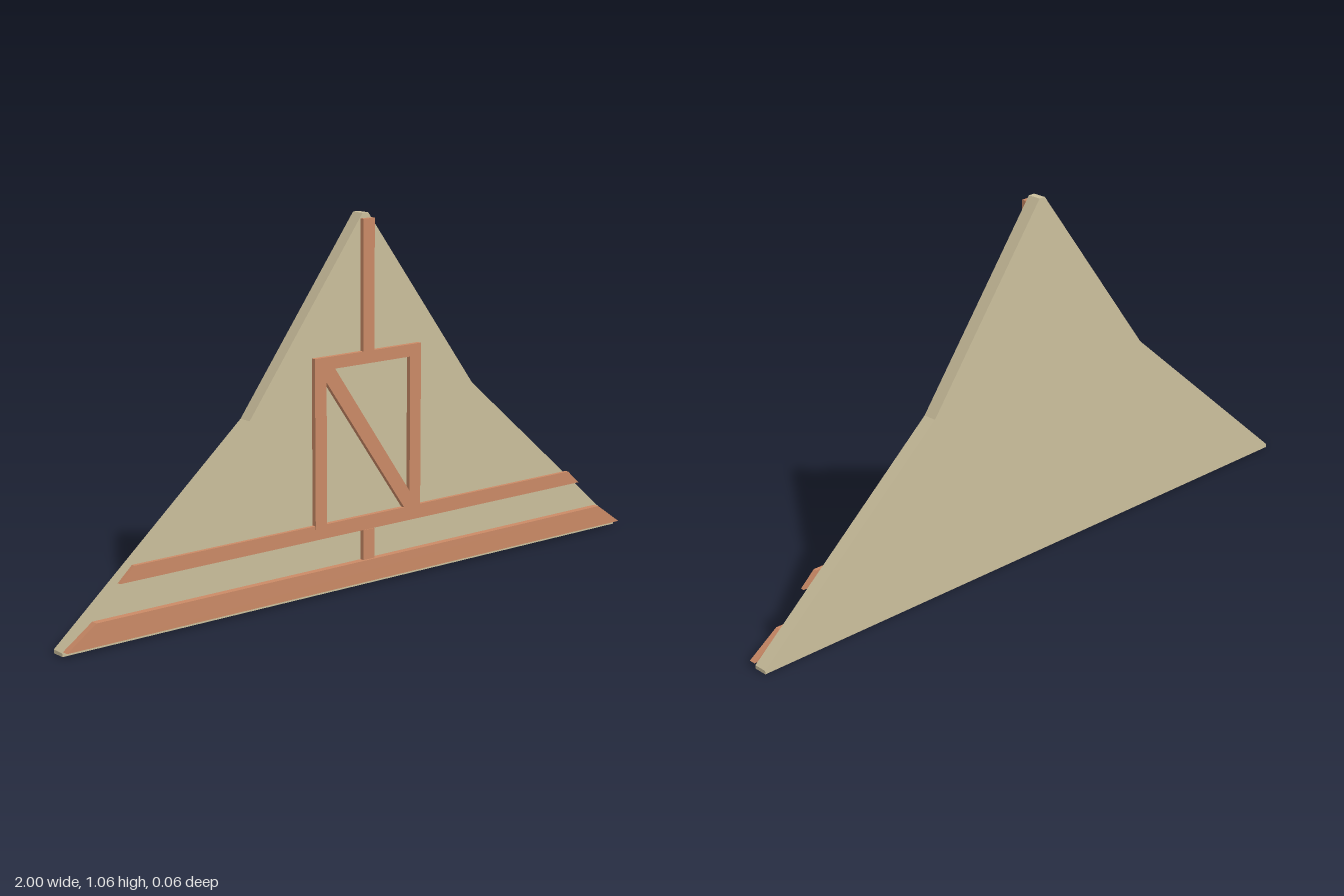
import * as THREE from 'three';

const plaster = new THREE.MeshStandardMaterial({ color: 0xcbbf9c, flatShading: true });
const timber = new THREE.MeshStandardMaterial({ color: 0xcb8a66, flatShading: true });
const toPoints = (list) => list.map(([x, y]) => new THREE.Vector2(x, y));

// Flat outline extruded from z0 to z1, with optional holes
function slab(name, outline, z0, z1, material, holes = []) {
  const shape = new THREE.Shape(toPoints(outline));
  holes.forEach((h) => shape.holes.push(new THREE.Path(toPoints(h))));
  const geometry = new THREE.ExtrudeGeometry(shape, { depth: z1 - z0, bevelEnabled: false });
  geometry.translate(0, 0, z0);
  const mesh = new THREE.Mesh(geometry, material);
  mesh.name = name;
  return mesh;
}

// Symmetric beam or post; the two half widths give the slanted ends
const beam = (name, halfBottom, halfTop, y0, y1, z1) => slab(name,
  [[-halfBottom, y0], [halfBottom, y0], [halfTop, y1], [-halfTop, y1]], 0.012, z1, timber);

export function createModel() {
  const model = new THREE.Group();
  model.name = 'timberedGable';

  // Gable wall with kinked roof slopes
  model.add(slab('gableWall',
    [[-1, 0], [1, 0], [1, 0.01], [0.4, 0.53], [0.01, 1.057], [-0.01, 1.057], [-0.4, 0.53], [-1, 0.01]],
    -0.032, 0.009, plaster));

  // Horizontal beams
  model.add(beam('sillBeam', 1, 0.91, 0.014, 0.077, 0.032));
  model.add(beam('crossBeam', 0.83, 0.785, 0.164, 0.205, 0.023));

  // Centre posts
  model.add(beam('lowerPost', 0.02, 0.02, 0.077, 0.164, 0.025));
  model.add(beam('upperPost', 0.02, 0.02, 0.675, 1.043, 0.025));

  // Window-like frame with a diagonal brace
  model.add(slab('bracedFrame',
    [[-0.19, 0.195], [0.19, 0.195], [0.19, 0.675], [-0.19, 0.675]], 0.011, 0.025, timber, [
      [[-0.15, 0.205], [-0.15, 0.605], [0.13, 0.205]],
      [[-0.12, 0.64], [0.15, 0.64], [0.15, 0.25]],
    ]));

  return model;
}
